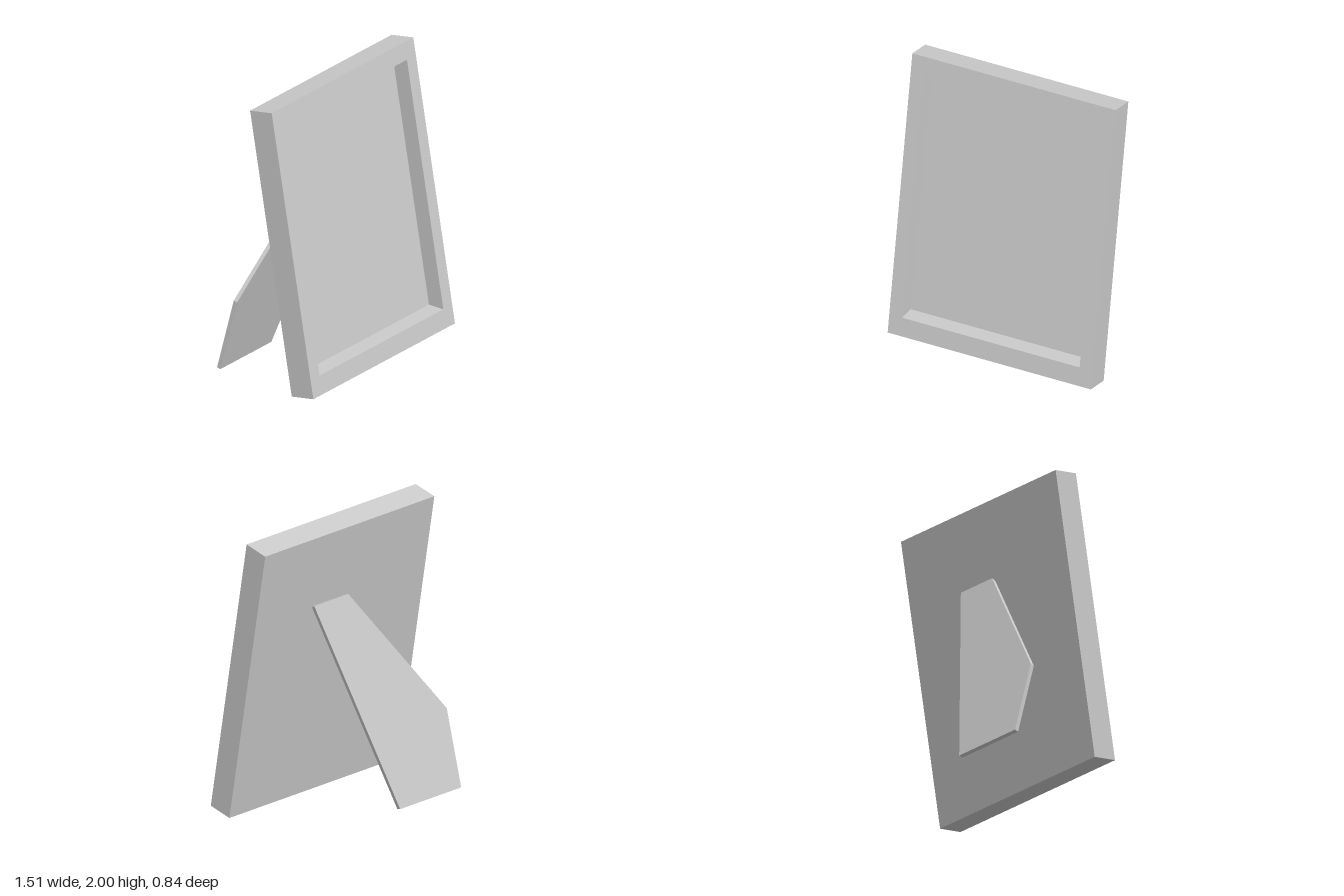
import * as THREE from 'three';

const W = 0.755, H = 2;              // half width and height of the frame
const THICK = 0.183, RECESS = 0.118; // total depth, depth of the front recess
const LEAN = THREE.MathUtils.degToRad(10);
const STAND_LEAN = THREE.MathUtils.degToRad(15);

const material = new THREE.MeshStandardMaterial({ color: 0xcccccc, flatShading: true });

function polygon(points) {
  return points.map(([x, y]) => new THREE.Vector2(x, y));
}

function rect(x, y0, y1) {
  return polygon([[-x, y0], [x, y0], [x, y1], [-x, y1]]);
}

function part(name, geometry) {
  const mesh = new THREE.Mesh(geometry, material);
  mesh.name = name;
  return mesh;
}

export function createModel() {
  const model = new THREE.Group();
  model.name = 'pictureFrame';

  // Leaning frame, pivoting on its lower front edge
  const frame = new THREE.Group();
  frame.name = 'frame';
  frame.position.set(0, 0.032, 0.421);
  frame.rotation.x = -LEAN;
  model.add(frame);

  // Border; the opening is cut horizontally, so its rear edge shifts up
  const borderShape = new THREE.Shape(rect(W, 0, H));
  borderShape.holes.push(new THREE.Path(rect(0.66, 0.132, 1.877)));
  const border = new THREE.ExtrudeGeometry(borderShape, { depth: RECESS, bevelEnabled: false });
  border.translate(0, 0, -RECESS);
  const p = border.attributes.position;
  for (let i = 0; i < p.count; i++) {
    const inOpening = Math.abs(p.getX(i)) < W - 0.01;
    if (inOpening && p.getZ(i) < -RECESS / 2) p.setY(i, p.getY(i) + RECESS * Math.tan(LEAN));
  }
  border.computeVertexNormals();
  frame.add(part('border', border));

  // Solid panel behind the opening
  const backDepth = THICK - RECESS;
  const back = new THREE.BoxGeometry(2 * W, H, backDepth);
  back.translate(0, H / 2, -RECESS - backDepth / 2);
  frame.add(part('backPanel', back));

  // Slanted rear stand, pivoting on its lower rear edge
  const standShape = new THREE.Shape(polygon([
    [-0.705, 0], [-0.16, 0], [0.25, 1.493], [-0.055, 1.493], [-0.705, 0.54],
  ]));
  const stand = part('stand', new THREE.ExtrudeGeometry(standShape, { depth: 0.028, bevelEnabled: false }));
  stand.position.set(0, 0.007, -0.421);
  stand.rotation.x = STAND_LEAN;
  model.add(stand);

  return model;
}
